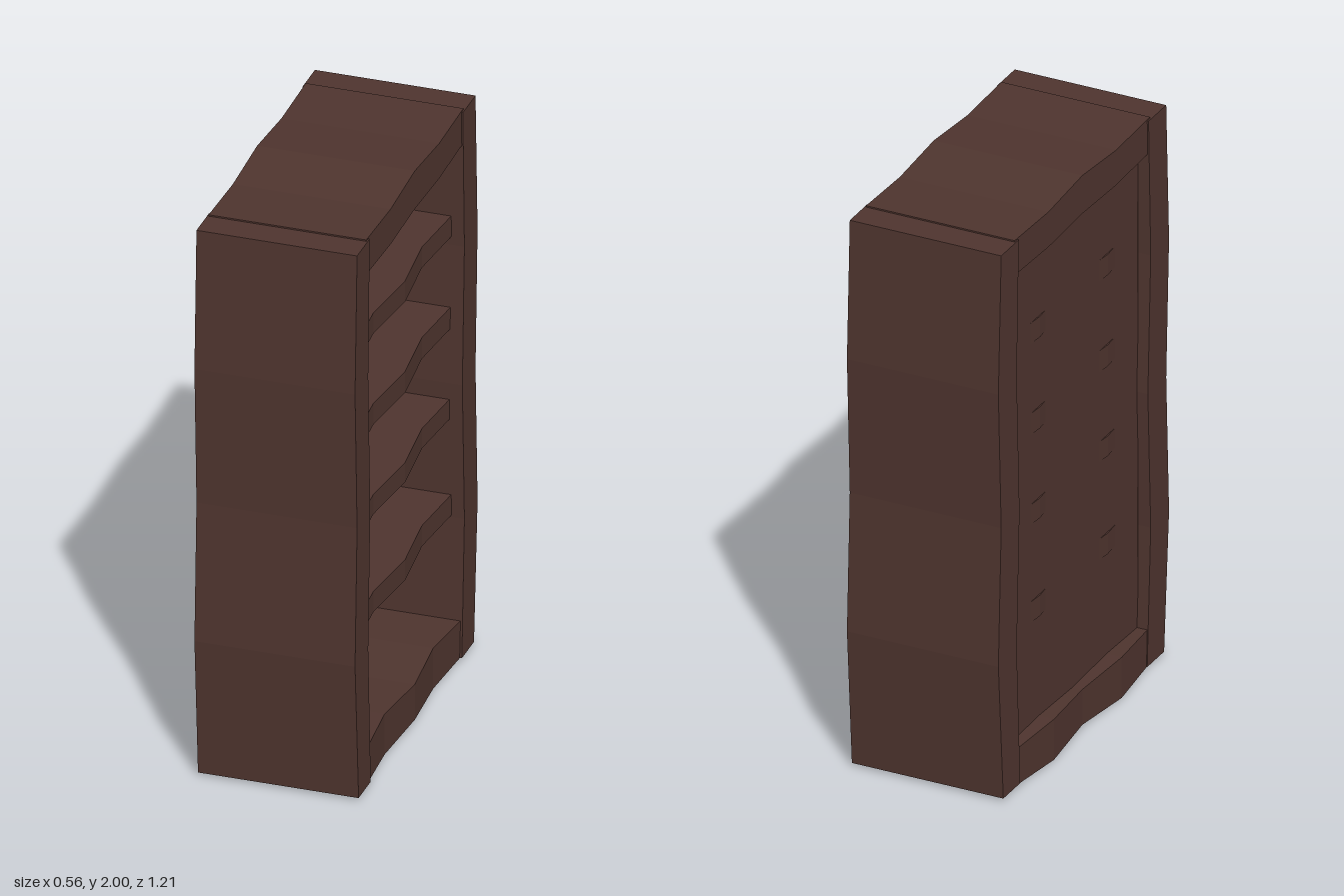
import * as THREE from 'three';

const wood = new THREE.MeshStandardMaterial({ color: 0x4e342e });
wood.name = 'dark brown wood';

// Interpolates evenly spaced wave values, t from 0 to 1
function wave(values, t) {
  const f = Math.min(Math.max(t, 0), 1) * (values.length - 1);
  const i = Math.min(Math.floor(f), values.length - 2);
  return THREE.MathUtils.lerp(values[i], values[i + 1], f - i);
}

// A box between two corners, cut into segments and bent by a rule, with flat faces
function plank(name, min, max, segments, bend) {
  const size = max.map((v, i) => v - min[i]);
  const geo = new THREE.BoxGeometry(...size, ...segments).toNonIndexed();
  geo.translate(...min.map((v, i) => v + size[i] / 2));
  const pos = geo.attributes.position;
  const p = new THREE.Vector3();
  for (let i = 0; i < pos.count; i++) {
    p.fromBufferAttribute(pos, i);
    if (bend) bend(p);
    pos.setXYZ(i, p.x, p.y, p.z);
  }
  geo.computeVertexNormals();
  const mesh = new THREE.Mesh(geo, wood);
  mesh.name = name;
  return mesh;
}

export function createModel() {
  const group = new THREE.Group();
  group.name = 'bookcase';
  const HALF = 0.48;
  const along = (p) => (p.z + HALF) / (2 * HALF);

  // Wavy side panels
  const outer = [0.57, 0.605, 0.585, 0.605, 0.585];
  const inner = [0.45, 0.475, 0.455, 0.475, 0.46];
  for (const s of [1, -1]) {
    group.add(plank(s > 0 ? 'leftSidePanel' : 'rightSidePanel',
      [-0.265, 0.01, s * 0.52 - 0.06], [0.28, 1.983, s * 0.52 + 0.06], [1, 4, 1], (p) => {
        const isOuter = Math.abs(p.z) > 0.52;
        p.z = s * wave(isOuter ? outer : inner, (p.y - 0.01) / 1.973);
      }));
  }

  // Top board, waving up and down
  group.add(plank('topBoard', [-0.26, 1.86, -HALF], [0.275, 1.99, HALF], [1, 1, 4], (p) => {
    const upper = p.y > 1.92;
    p.y = wave(upper ? [1.988, 1.98, 2, 1.98, 1.988] : [1.862, 1.853, 1.862, 1.853, 1.862], along(p));
  }));

  // Bottom board, waving down and backwards
  group.add(plank('bottomBoard', [-0.26, 0.01, -HALF], [0.275, 0.14, HALF], [1, 1, 4], (p) => {
    const upper = p.y > 0.08;
    p.y = wave(upper ? [0.14, 0.147, 0.138, 0.147, 0.14] : [0.01, 0, 0.01, 0, 0.01], along(p));
    p.x += wave([0, -0.02, 0, -0.02, 0], along(p));
  }));

  // Recessed back panel
  group.add(plank('backPanel', [-0.225, 0.08, -0.465], [-0.03, 1.92, 0.465], [1, 1, 1]));

  // Shelves with wavy front edges
  [[0.51, 0.585], [0.865, 0.937], [1.19, 1.267], [1.52, 1.595]].forEach(([y0, y1], i) => {
    group.add(plank('shelf' + (i + 1), [-0.21, y0, -HALF], [0.237, y1, HALF], [1, 1, 4], (p) => {
      p.x += wave([0, -0.02, 0.005, -0.02, 0], along(p));
    }));
  });

  return group;
}
